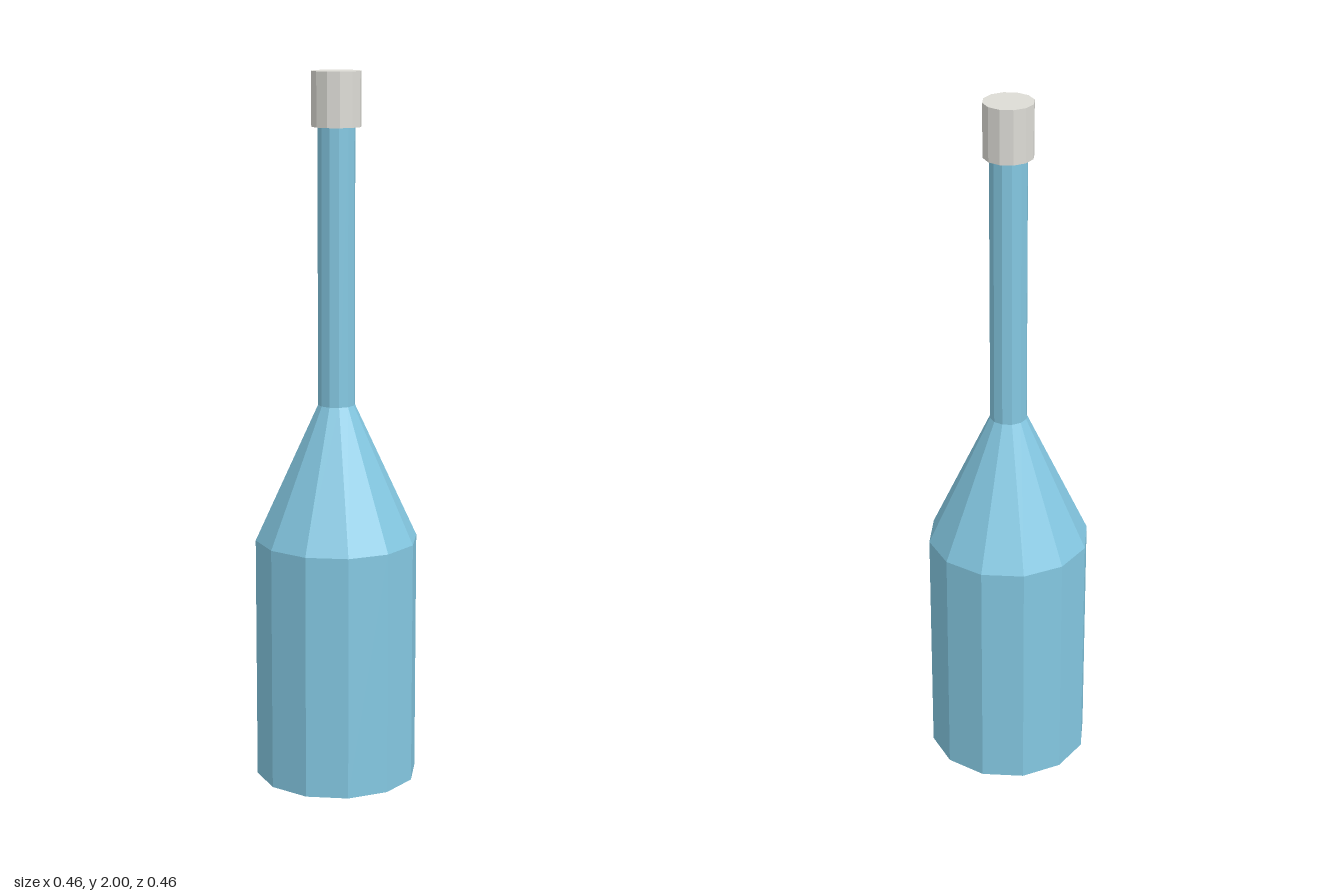
import * as THREE from 'three';

const SIDES = 12;

export function createModel() {
  const group = new THREE.Group();
  group.name = 'bottle';

  const glass = new THREE.MeshStandardMaterial({ color: 0x84c8e2, flatShading: true });
  glass.name = 'blue glass';
  const metal = new THREE.MeshStandardMaterial({ color: 0xdddcd6, flatShading: true });
  metal.name = 'pale grey cap';

  // Faceted round section between two heights
  const section = (name, material, rBottom, rTop, y0, y1, open = false) => {
    const geometry = new THREE.CylinderGeometry(rTop, rBottom, y1 - y0, SIDES, 1, open);
    const mesh = new THREE.Mesh(geometry, material);
    mesh.name = name;
    mesh.position.y = (y0 + y1) / 2;
    group.add(mesh);
  };

  section('body', glass, 0.23, 0.23, 0, 0.695);
  section('shoulder', glass, 0.23, 0.052, 0.695, 1.08, true);
  section('neck', glass, 0.052, 0.052, 1.08, 1.85, true);
  section('cap', metal, 0.069, 0.069, 1.85, 2);

  return group;
}
